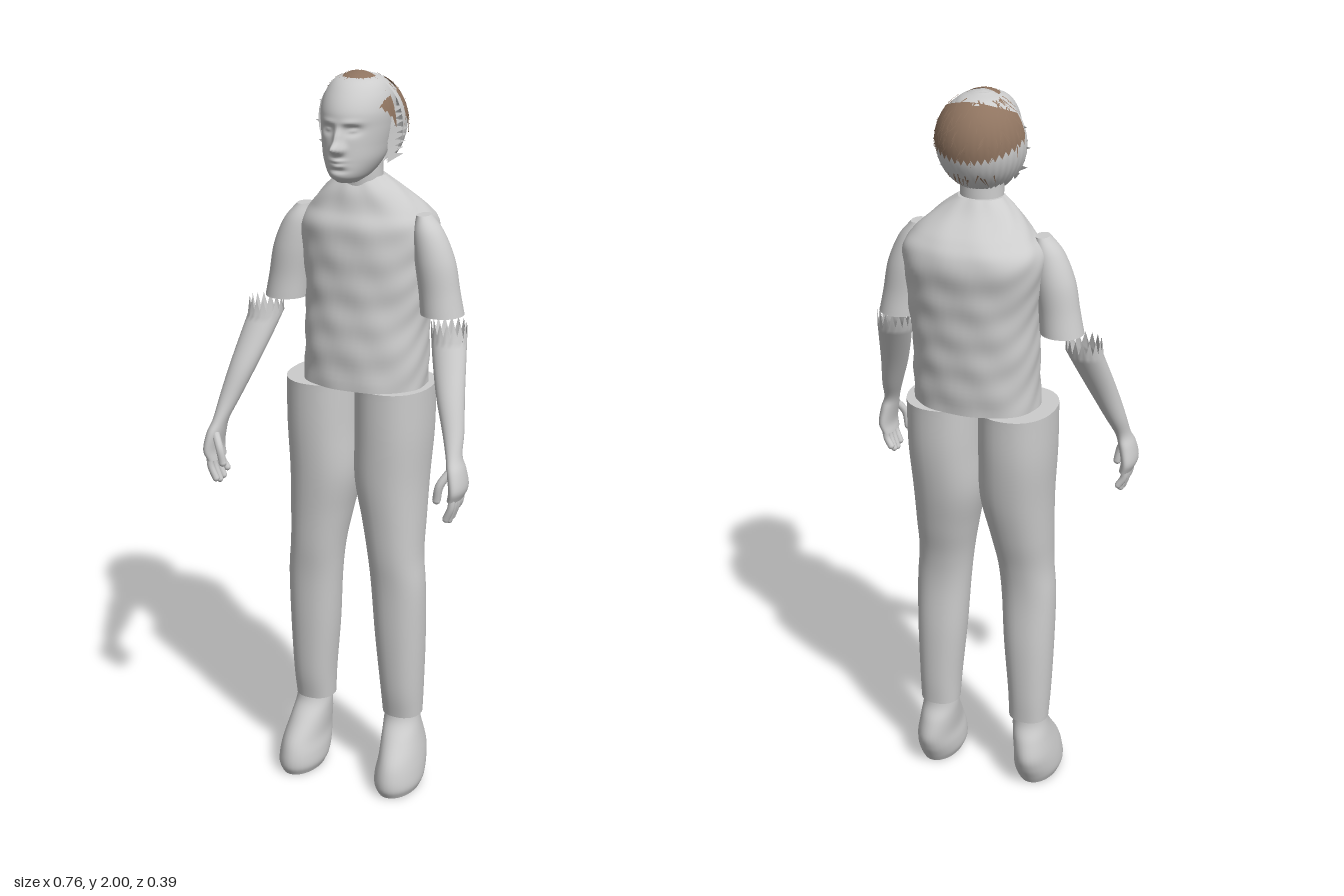
import * as THREE from 'three';

const grey = new THREE.MeshStandardMaterial({ color: 0xcccccc, side: THREE.DoubleSide });
grey.name = 'plain grey';
const brown = new THREE.MeshStandardMaterial({ color: 0x8f7460, side: THREE.DoubleSide });
brown.name = 'hair brown';

let seed = 7;
const rand = () => (seed = (seed * 16807) % 2147483647) / 2147483647;

function named(geometry, material, name) {
  const mesh = new THREE.Mesh(geometry, material);
  mesh.name = name;
  return mesh;
}

function build(positions, index) {
  const g = new THREE.BufferGeometry();
  g.setAttribute('position', new THREE.Float32BufferAttribute(positions, 3));
  g.setIndex(index);
  g.computeVertexNormals();
  return g;
}

// Smooth skin over rings [y, xMin, xMax, zMin, zMax], listed bottom up
function loft(rings, { seg = 32, rows = 32, power = 1, bottom = true, top = true, warp } = {}) {
  const centres = new THREE.CatmullRomCurve3(
    rings.map(([y, a, b, c, d]) => new THREE.Vector3((a + b) / 2, y, (c + d) / 2)), false, 'catmullrom');
  const radii = new THREE.CatmullRomCurve3(
    rings.map(([, a, b, c, d]) => new THREE.Vector3((b - a) / 2, 0, (d - c) / 2)), false, 'catmullrom');
  const pos = [], idx = [];
  const soft = (v) => Math.sign(v) * Math.abs(v) ** power;
  for (let i = 0; i <= rows; i++) {
    const c = centres.getPoint(i / rows), r = radii.getPoint(i / rows);
    for (let j = 0; j < seg; j++) {
      const a = (j / seg) * Math.PI * 2;
      const p = new THREE.Vector3(c.x + r.x * soft(Math.cos(a)), c.y, c.z + r.z * soft(Math.sin(a)));
      if (warp) warp(p, a, i, j, rows);
      pos.push(p.x, p.y, p.z);
    }
  }
  for (let i = 0; i < rows; i++) for (let j = 0; j < seg; j++) {
    const k = (j + 1) % seg, a = i * seg + j, b = i * seg + k;
    idx.push(a, a + seg, b, b, a + seg, b + seg);
  }
  // End caps have their own corners so the rims stay sharp
  const cap = (row, up) => {
    const start = pos.length / 3, c = centres.getPoint(row / rows);
    pos.push(c.x, c.y, c.z);
    for (let j = 0; j < seg; j++) pos.push(...pos.slice((row * seg + j) * 3, (row * seg + j) * 3 + 3));
    for (let j = 0; j < seg; j++) {
      const a = start + 1 + j, b = start + 1 + ((j + 1) % seg);
      idx.push(start, up ? b : a, up ? a : b);
    }
  };
  if (bottom) cap(0, false);
  if (top) cap(rows, true);
  return build(pos, idx);
}

// Mirror rings across the plane x = c for the right side
const sided = (rings, side, c) => side > 0 ? rings
  : rings.map(([y, a, b, z0, z1]) => [y, 2 * c - b, 2 * c - a, z0, z1]);

// Point on an ellipsoid round the skull: a turns about y, t falls from the crown
const skull = new THREE.Vector3(0.017, 1.87, 0.005);
const onSkull = (a, t, [rx, ry, rz]) => new THREE.Vector3(
  skull.x + rx * Math.sin(t) * Math.cos(a), skull.y + ry * Math.cos(t), skull.z + rz * Math.sin(t) * Math.sin(a));

function patch(a0, a1, tTop, tBottom, radii, cols = 40, rows = 12) {
  const pos = [], idx = [];
  for (let j = 0; j <= cols; j++) {
    const a = a0 + (a1 - a0) * j / cols, t0 = tTop(a), t1 = tBottom(a, j);
    for (let i = 0; i <= rows; i++) pos.push(...onSkull(a, t0 + (t1 - t0) * i / rows, radii));
  }
  for (let j = 0; j < cols; j++) for (let i = 0; i < rows; i++) {
    const p = j * (rows + 1) + i, q = p + rows + 1;
    idx.push(p, q, p + 1, q, q + 1, p + 1);
  }
  return build(pos, idx);
}

// Short hair strands lying on the skull
function strands(count, aRange, tRange, radii, name) {
  const pos = [], idx = [];
  for (let n = 0; n < count; n++) {
    const a = aRange[0] + rand() * (aRange[1] - aRange[0]);
    const t = tRange[0] + rand() * (tRange[1] - tRange[0]);
    const p = onSkull(a, t, radii), q = onSkull(a + (rand() - 0.5) * 0.5, t + 0.25, radii);
    const w = q.clone().sub(p).cross(p.clone().sub(skull)).setLength(0.002);
    const lift = p.clone().sub(skull).setLength(0.004);
    q.add(lift);
    const s = pos.length / 3;
    pos.push(...p.clone().sub(w), ...p.clone().add(w), ...q);
    idx.push(s, s + 1, s + 2);
  }
  return named(build(pos, idx), brown, name);
}

function buildHead() {
  const head = new THREE.Group();
  head.name = 'head';
  const bump = (p, x, y, sx, sy) => Math.exp(-(((p.x - x) / sx) ** 2) - ((p.y - y) / sy) ** 2);
  // Nose, eyes, lips and brow are pushed out of the front of the face
  const face = (p) => {
    if (p.z < 0.05) return;
    const x = Math.abs(p.x - 0.016);
    const m = { x, y: p.y };
    p.z += 0.036 * bump(m, 0, 1.825, 0.013, 0.014) + 0.018 * bump(m, 0, 1.85, 0.01, 0.022)
      + 0.008 * bump(m, 0.014, 1.82, 0.008, 0.009) - 0.014 * bump(m, 0.034, 1.868, 0.018, 0.012)
      + 0.009 * bump(m, 0.034, 1.867, 0.011, 0.006) + 0.005 * bump(m, 0.03, 1.887, 0.025, 0.008)
      + 0.009 * bump(m, 0, 1.793, 0.018, 0.005) + 0.009 * bump(m, 0, 1.781, 0.016, 0.005)
      - 0.006 * bump(m, 0, 1.768, 0.022, 0.006);
  };
  head.add(named(loft([
    [1.733, -0.012, 0.044, 0.04, 0.11], [1.752, -0.035, 0.067, -0.03, 0.136],
    [1.79, -0.057, 0.089, -0.07, 0.137], [1.83, -0.066, 0.098, -0.09, 0.135],
    [1.87, -0.071, 0.104, -0.1, 0.132], [1.91, -0.073, 0.106, -0.105, 0.13],
    [1.95, -0.065, 0.097, -0.095, 0.108], [1.98, -0.044, 0.075, -0.065, 0.075],
    [1.994, -0.005, 0.037, -0.02, 0.025],
  ], { seg: 96, rows: 90, warp: face }), grey, 'face'));
  head.add(named(loft([
    [1.65, -0.05, 0.082, -0.075, 0.045], [1.7, -0.042, 0.074, -0.062, 0.045],
    [1.75, -0.04, 0.072, -0.06, 0.05], [1.8, -0.04, 0.072, -0.06, 0.05],
  ]), grey, 'neck'));

  // Shell behind the face, with a ragged lower rim
  const shell = [0.118, 0.126, 0.128], hair = [0.121, 0.13, 0.132];
  head.add(named(patch(Math.PI, 2 * Math.PI, () => 0,
    (a, j) => 2.1 + 0.5 * Math.sin(a - Math.PI) + (j % 2) * 0.12, shell), grey, 'backShell'));
  // Spiky tufts around the ears
  for (const side of [-1, 1]) {
    const pos = [], idx = [];
    for (let n = 0; n < 8; n++) {
      const y = 1.785 + n * 0.017, reach = 0.118 + rand() * 0.018 - Math.abs(n - 4) * 0.004;
      pos.push(0.017 + side * 0.08, y - 0.012, 0.015, 0.017 + side * 0.08, y + 0.014, 0.01,
        0.017 + side * reach, y + 0.012, -0.005);
      idx.push(n * 3, n * 3 + 1, n * 3 + 2);
    }
    head.add(named(build(pos, idx), grey, side > 0 ? 'leftTuft' : 'rightTuft'));
  }

  // Brown hair over the forehead and the back of the skull
  const fringe = [0.1, 0.13, 0.118];
  head.add(named(patch(0, Math.PI, () => 0.04,
    (a, j) => 1.62 - 0.72 * Math.sin(a) ** 0.6 + (j % 2) * 0.07, fringe), brown, 'frontHair'));
  head.add(named(patch(Math.PI + 0.12, 2 * Math.PI - 0.12, (a) => 0.95 - 0.4 * Math.abs(Math.sin(a)),
    (a, j) => 1.3 + 0.4 * Math.abs(Math.sin(a)) + (j % 2) * 0.12, hair), brown, 'backHair'));
  head.add(strands(60, [0.1, 3.04], [0.1, 0.75], fringe, 'frontStrands'));
  head.add(strands(110, [3.25, 6.2], [0.45, 1.6], hair, 'backStrands'));
  head.add(strands(14, [4, 5.4], [2.05, 2.3], shell, 'napeStrands'));
  return head;
}

function buildArm(side) {
  const arm = new THREE.Group();
  arm.name = side > 0 ? 'leftArm' : 'rightArm';
  arm.add(named(loft(sided([
    [1.39, 0.188, 0.302, -0.066, 0.05], [1.45, 0.182, 0.29, -0.061, 0.046],
    [1.53, 0.17, 0.275, -0.06, 0.046], [1.6, 0.165, 0.245, -0.05, 0.037],
    [1.645, 0.172, 0.208, -0.037, 0.018],
  ], side, 0.02), { bottom: false }), grey, 'sleeve'));
  // Forearm and palm in one skin, frayed at the elbow
  const fray = (p, a, i, j, rows) => { if (i === rows) p.y += (j % 2) * 0.035; };
  arm.add(named(loft(sided([
    [0.955, 0.338, 0.372, 0.105, 0.192], [0.985, 0.342, 0.383, 0.1, 0.198],
    [1.03, 0.333, 0.376, 0.105, 0.188], [1.065, 0.324, 0.364, 0.108, 0.168],
    [1.12, 0.302, 0.358, 0.08, 0.144], [1.2, 0.27, 0.344, 0.042, 0.115],
    [1.28, 0.242, 0.33, 0, 0.077], [1.345, 0.222, 0.318, -0.036, 0.045],
  ], side, 0.005), { top: false, warp: fray }), grey, 'forearm'));
  // Fingers and thumb
  const x = (v) => side > 0 ? v : 0.01 - v;
  const finger = (points, r, name) => {
    const curve = new THREE.CatmullRomCurve3(points.map(([a, b, c]) => new THREE.Vector3(x(a), b, c)));
    arm.add(named(new THREE.TubeGeometry(curve, 10, r, 10), grey, name));
    const tip = named(new THREE.SphereGeometry(r, 10, 8), grey, name + 'Tip');
    tip.position.copy(curve.getPoint(1));
    arm.add(tip);
  };
  [0.915, 0.9, 0.896, 0.905].forEach((y, n) => {
    const z = 0.117 + n * 0.021;
    finger([[0.358, 0.98, z], [0.356, 0.94, z + 0.002], [0.342, y, z]], 0.0095, 'finger');
  });
  finger([[0.345, 1.03, 0.17], [0.325, 0.995, 0.186], [0.317, 0.955, 0.185]], 0.011, 'thumb');
  return arm;
}

function buildLeg(side) {
  const leg = new THREE.Group();
  leg.name = side > 0 ? 'leftLeg' : 'rightLeg';
  leg.add(named(loft(sided([
    [0.21, 0.085, 0.196, -0.07, 0.035], [0.3, 0.08, 0.2, -0.075, 0.05],
    [0.45, 0.066, 0.205, -0.076, 0.06], [0.6, 0.056, 0.206, -0.07, 0.066],
    [0.7, 0.046, 0.198, -0.08, 0.075], [0.8, 0.028, 0.198, -0.105, 0.081],
    [0.92, 0.004, 0.2, -0.132, 0.089], [1.05, 0.004, 0.207, -0.15, 0.094],
    [1.18, 0.004, 0.208, -0.155, 0.095],
  ], side, 0.005), { rows: 48, power: 0.9 }), grey, 'trouserLeg'));
  leg.add(named(loft(sided([
    [0, 0.1, 0.208, -0.058, 0.122], [0.025, 0.09, 0.217, -0.072, 0.133],
    [0.06, 0.09, 0.216, -0.09, 0.13], [0.1, 0.095, 0.21, -0.1, 0.114],
    [0.15, 0.092, 0.2, -0.088, 0.075], [0.19, 0.09, 0.193, -0.068, 0.04],
    [0.225, 0.092, 0.19, -0.062, 0.028],
  ], side, 0.003)), grey, 'shoe'));
  return leg;
}

export function createModel() {
  const model = new THREE.Group();
  model.name = 'standingPerson';
  // Shirt with faint wrinkles
  const wrinkle = (p, a) => {
    const k = 0.0025 * Math.sin(p.y * 55 + 3 * Math.sin(a * 2)) * Math.sin(a * 5 + p.y * 20);
    p.x += Math.cos(a) * k;
    p.z += Math.sin(a) * k;
  };
  model.add(named(loft([
    [1.18, -0.15, 0.19, -0.155, 0.1], [1.3, -0.148, 0.188, -0.165, 0.098],
    [1.4, -0.148, 0.19, -0.173, 0.092], [1.5, -0.155, 0.198, -0.183, 0.09],
    [1.6, -0.168, 0.203, -0.192, 0.086], [1.65, -0.135, 0.175, -0.162, 0.068],
    [1.7, -0.085, 0.124, -0.1, 0.052], [1.735, -0.044, 0.076, -0.064, 0.035],
  ], { seg: 64, rows: 60, power: 0.9, warp: wrinkle }), grey, 'shirt'));
  model.add(buildHead());
  for (const side of [-1, 1]) model.add(buildArm(side), buildLeg(side));
  return model;
}
